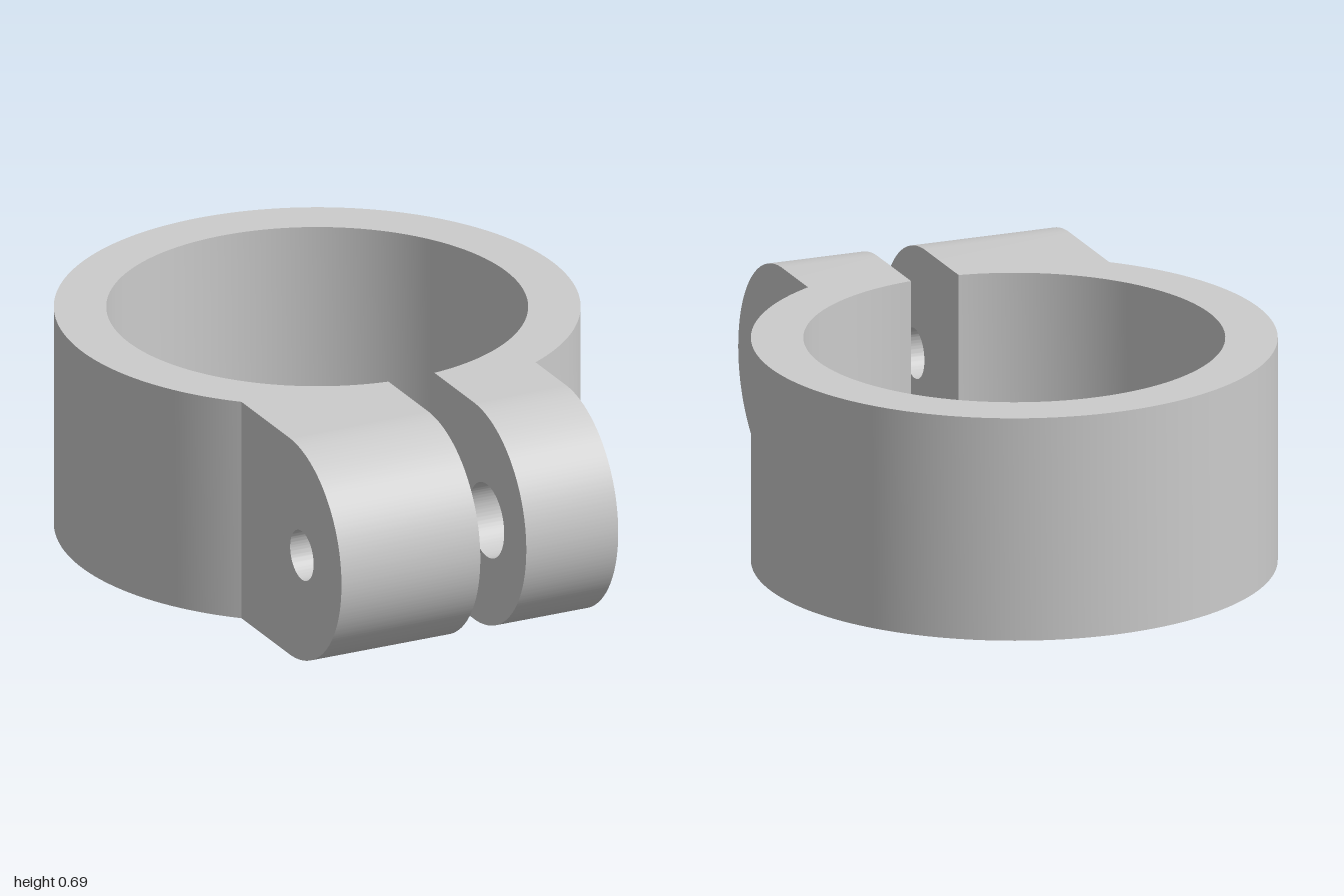
import * as THREE from 'three';
import { toCreasedNormals } from 'three/addons/utils/BufferGeometryUtils.js';

const HEIGHT = 0.69;
const MID = HEIGHT / 2;
const RING_Z = -0.222, OUTER = 0.778, INNER = 0.623;
const GAP = 0.076;                 // half width of the slot
const RIGHT = -0.535, LEFT = 0.38; // outer faces of the two lugs
const HOLE_Z = 0.74;

const zOnCircle = (r, x) => RING_Z + Math.sqrt(r * r - x * x);
const angleAt = (r, x) => Math.acos(x / r);
const JOIN_Z = zOnCircle(OUTER, LEFT); // where the lugs start

function extrude(shape, depth) {
  return new THREE.ExtrudeGeometry(shape, { depth, bevelEnabled: false, curveSegments: 96 });
}

// Split ring with the lug roots, drawn in plan (x, z)
function ringGeometry() {
  const s = new THREE.Shape();
  s.moveTo(GAP, JOIN_Z);
  s.lineTo(LEFT, JOIN_Z);
  s.absarc(0, RING_Z, OUTER, angleAt(OUTER, LEFT), angleAt(OUTER, RIGHT), true);
  s.lineTo(RIGHT, JOIN_Z);
  s.lineTo(-GAP, JOIN_Z);
  s.absarc(0, RING_Z, INNER, angleAt(INNER, -GAP), angleAt(INNER, GAP), false);
  s.closePath();
  const g = extrude(s, HEIGHT).rotateX(Math.PI / 2).translate(0, HEIGHT, 0);
  return toCreasedNormals(g, 0.4);
}

// Round-ended clamp lug with a bolt hole, drawn in profile (z, y)
function lugGeometry(x0, x1, holeRadius) {
  const s = new THREE.Shape();
  s.moveTo(JOIN_Z, 0);
  s.lineTo(1 - MID, 0);
  s.absarc(1 - MID, MID, MID, -Math.PI / 2, Math.PI / 2, false);
  s.lineTo(JOIN_Z, HEIGHT);
  s.closePath();
  s.holes.push(new THREE.Path().absarc(HOLE_Z, MID, holeRadius, 0, Math.PI * 2, true));
  const g = extrude(s, x1 - x0).rotateY(-Math.PI / 2).translate(x1, 0, 0);
  return toCreasedNormals(g, 0.4);
}

export function createModel() {
  const group = new THREE.Group();
  group.name = 'splitClamp';
  const material = new THREE.MeshStandardMaterial({ color: 0xcccccc });
  const add = (name, geometry) => {
    const mesh = new THREE.Mesh(geometry, material);
    mesh.name = name;
    group.add(mesh);
  };

  add('splitRing', ringGeometry());
  add('leftLug', lugGeometry(GAP, LEFT, 0.115));    // clearance hole
  add('rightLug', lugGeometry(RIGHT, -GAP, 0.077)); // smaller, threaded side
  return group;
}
